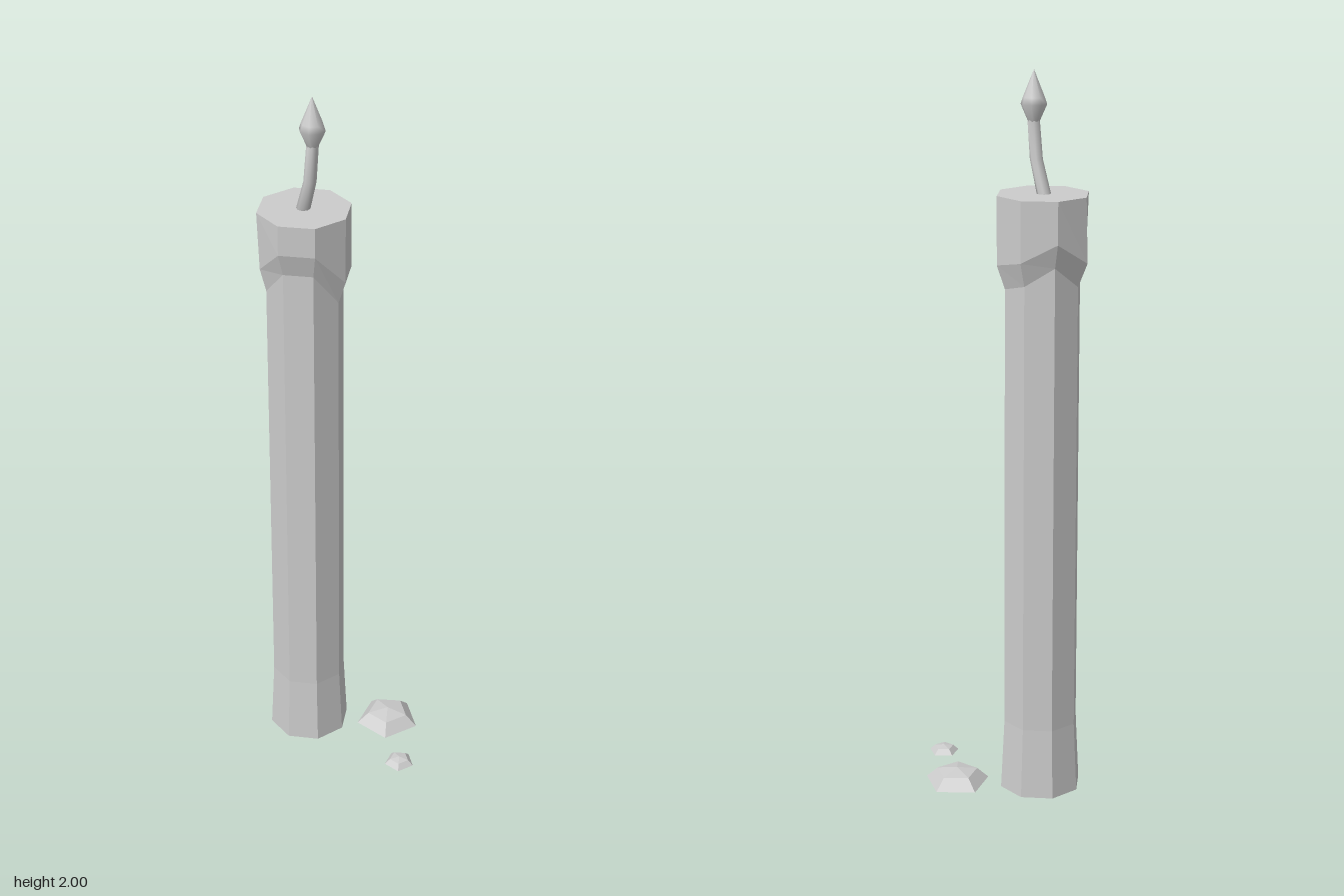
import * as THREE from 'three';

const rad = THREE.MathUtils.degToRad;

// One cross-section; r and y may be numbers or functions of the corner index.
function ring(x, z, y, r, sides, startDeg) {
  const at = (v, k) => (typeof v === 'function' ? v(k) : v);
  return Array.from({ length: sides }, (_, k) => {
    const a = rad(startDeg) + (k / sides) * Math.PI * 2;
    return new THREE.Vector3(x + Math.cos(a) * at(r, k), at(y, k), z + Math.sin(a) * at(r, k));
  });
}

// Skins rings from bottom to top and closes both ends with fans.
function loft(name, rings, flatShading) {
  const n = rings[0].length;
  const points = rings.flat();
  const index = [];
  for (let i = 0; i < rings.length - 1; i++) {
    for (let j = 0; j < n; j++) {
      const a = i * n + j, b = i * n + ((j + 1) % n);
      index.push(a, a + n, b + n, a, b + n, b);
    }
  }
  const top = (rings.length - 1) * n;
  for (let j = 1; j < n - 1; j++) {
    index.push(0, j, j + 1, top, top + j + 1, top + j);
  }
  const geometry = new THREE.BufferGeometry().setFromPoints(points);
  geometry.setIndex(index);
  geometry.computeVertexNormals();
  const mesh = new THREE.Mesh(geometry, new THREE.MeshStandardMaterial({ color: 0xcccccc, flatShading }));
  mesh.name = name;
  return mesh;
}

// Octagonal candle with a flared foot and an uneven collar of melted wax
function candle() {
  const dripY = [1.5, 1.5, 1.6, 1.6, 1.52, 1.51, 1.57, 1.52];
  const dripR = [0.126, 0.126, 0.126, 0.126, 0.12, 0.131, 0.126, 0.126];
  const section = (y, r) => ring(-0.103, -0.059, y, r, 8, -17.6);
  return loft('candle', [
    section(0, 0.115),
    section(0.2, 0.105),
    section(k => dripY[k] - 0.065, 0.104),
    section(k => dripY[k], k => dripR[k]),
    section(1.683, 0.126),
  ], true);
}

// Bent wick
function wick() {
  const path = [
    [-0.108, 1.67, -0.063, 0.019],
    [-0.085, 1.77, -0.035, 0.017],
    [-0.077, 1.88, -0.035, 0.016],
  ];
  return loft('wick', path.map(([x, y, z, r]) => ring(x, z, y, r, 8, 0)), false);
}

// Pointed flame
function flame() {
  const profile = [[1.862, 0.013], [1.912, 0.035], [1.93, 0.029], [2, 0.0005]];
  return loft('flame', profile.map(([y, r]) => ring(-0.078, -0.035, y, r, 8, 10)), false);
}

// Five-sided dome of spilled wax
function waxDrop(name, x, z, radius, height) {
  const profile = [[0, 1], [0.74, 0.64], [1, 0]];
  return loft(name, profile.map(([h, r]) => ring(x, z, h * height, r * radius, 5, 91)), true);
}

export function createModel() {
  const group = new THREE.Group();
  group.name = 'meltedCandle';
  group.add(
    candle(),
    wick(),
    flame(),
    waxDrop('largeWaxDrop', 0.132, -0.06, 0.092, 0.042),
    waxDrop('smallWaxDrop', 0.177, 0.134, 0.043, 0.02),
  );
  return group;
}
